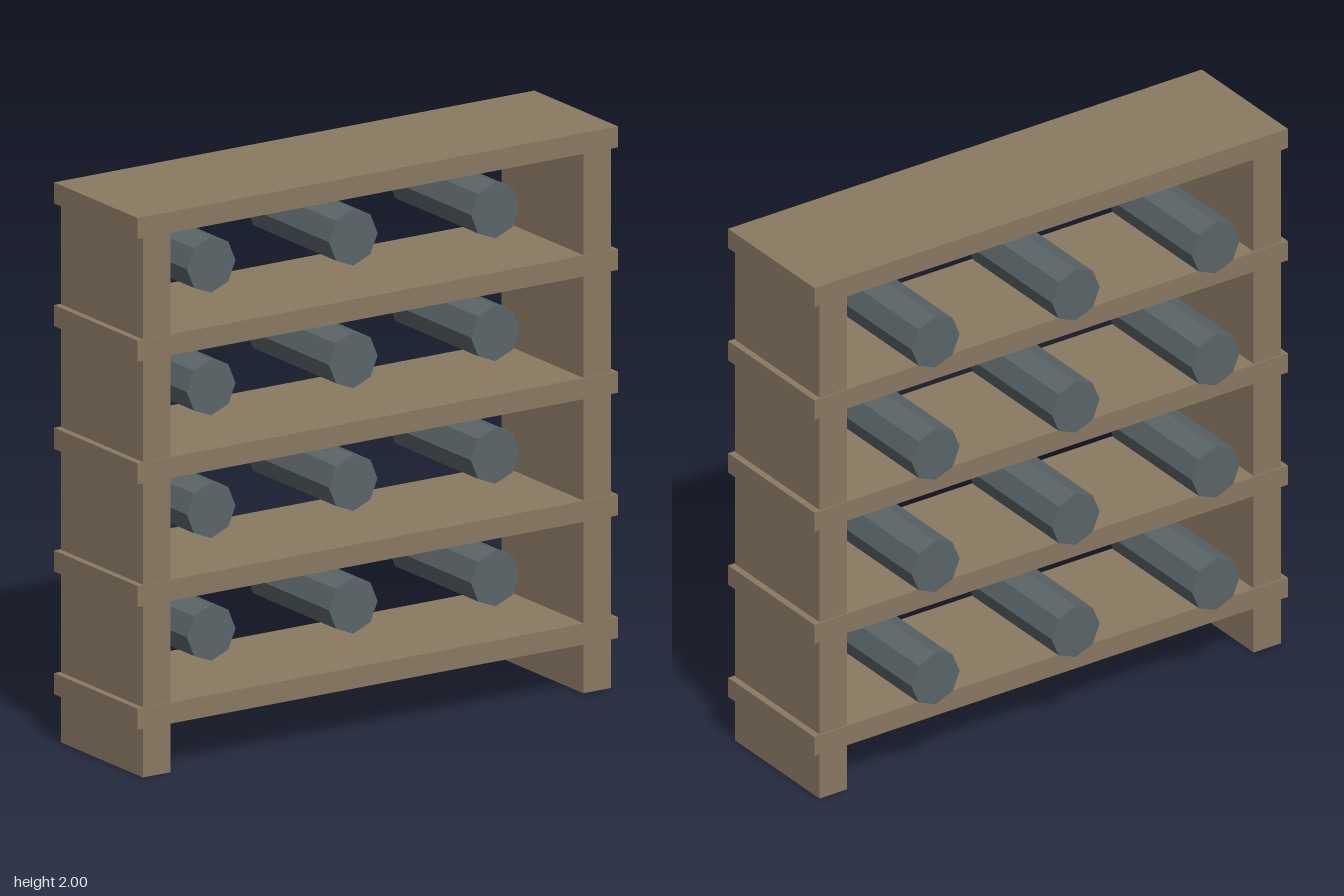
import * as THREE from 'three';

export function createModel() {
  const model = new THREE.Group();
  model.name = 'rack';

  const wood = new THREE.MeshStandardMaterial({ color: 0x8a7962 });
  wood.name = 'brown wood';
  const steel = new THREE.MeshStandardMaterial({ color: 0x5a6568, flatShading: true });
  steel.name = 'grey steel';

  const add = (name, geometry, material, x, y, z) => {
    const mesh = new THREE.Mesh(geometry, material);
    mesh.name = name;
    mesh.position.set(x, y, z);
    model.add(mesh);
  };

  const step = 0.4375; // spacing between levels
  const frameZ = 0.074; // middle of the frame's depth

  // Side panels, standing on the floor and reaching up to the top board
  const panel = new THREE.BoxGeometry(0.114, 1.93, 0.504);
  for (const side of [-1, 1]) {
    add(side > 0 ? 'leftPanel' : 'rightPanel', panel, wood, side * 0.905, 0.965, frameZ);
  }

  // Four shelves and the top board
  const board = new THREE.BoxGeometry(1.974, 0.075, 0.514);
  for (let i = 0; i < 5; i++) {
    add(i === 4 ? 'topBoard' : 'shelf', board, wood, 0, 0.2125 + i * step, frameZ);
  }

  // Three eight-sided rods per level, sticking out at the back
  const rod = new THREE.CylinderGeometry(0.1, 0.1, 0.51, 8).rotateX(Math.PI / 2);
  for (let i = 0; i < 4; i++) {
    for (const x of [-0.584, 0, 0.584]) {
      add('rod', rod, steel, x, 0.417 + i * step, -0.075);
    }
  }

  return model;
}
